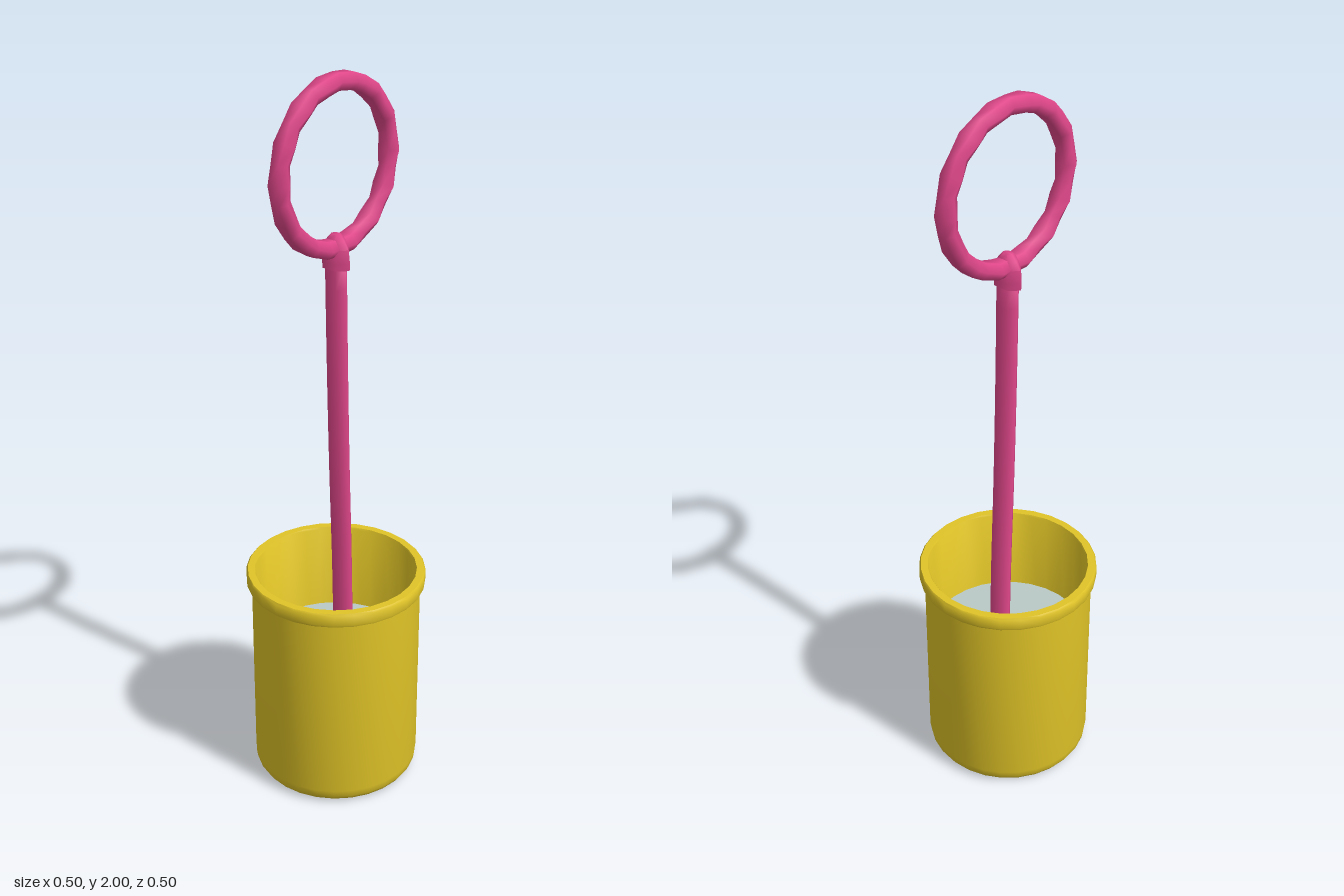
import * as THREE from 'three';
import { toCreasedNormals } from 'three/addons/utils/BufferGeometryUtils.js';

const SEGMENTS = 28;
const SIDES = 6;

// Skins a list of six-sided rings; closed joins the last ring to the first
function loft(rings, closed) {
  const positions = [], indices = [];
  rings.forEach(ring => ring.forEach(p => positions.push(...p)));
  const n = rings.length;
  for (let i = 0; i < (closed ? n : n - 1); i++) {
    for (let j = 0; j < SIDES; j++) {
      const k = (j + 1) % SIDES, next = (i + 1) % n;
      const a = i * SIDES + j, b = i * SIDES + k;
      const c = next * SIDES + k, d = next * SIDES + j;
      indices.push(a, b, c, a, c, d);
    }
  }
  if (!closed) {
    for (let j = 1; j < SIDES - 1; j++) {
      indices.push(0, j + 1, j);
      const e = (n - 1) * SIDES;
      indices.push(e, e + j, e + j + 1);
    }
  }
  const geometry = new THREE.BufferGeometry();
  geometry.setAttribute('position', new THREE.Float32BufferAttribute(positions, 3));
  geometry.setIndex(indices);
  geometry.computeVertexNormals();
  return geometry;
}

// Horizontal hexagon with its points towards front and back
function hexagon(x, y, z, halfX, halfZ) {
  return Array.from({ length: SIDES }, (_, j) => {
    const a = j / SIDES * Math.PI * 2;
    return [x + Math.sin(a) * halfX, y, z + Math.cos(a) * halfZ];
  });
}

export function createModel() {
  const model = new THREE.Group();
  const yellow = new THREE.MeshStandardMaterial({ color: 0xe0c427 });
  yellow.name = 'yellow plastic';
  const pink = new THREE.MeshStandardMaterial({ color: 0xe0478a });
  pink.name = 'pink plastic';
  const pale = new THREE.MeshStandardMaterial({ color: 0xbacac5 });
  pale.name = 'soapy liquid';

  function add(name, geometry, material, parent = model) {
    const mesh = new THREE.Mesh(geometry, material);
    mesh.name = name;
    parent.add(mesh);
    return mesh;
  }

  // Hollow cup: outer wall, rolled rim, inner wall and floor in one profile
  const profile = [
    [0, 0], [0.205, 0], [0.222, 0.008], [0.231, 0.022], [0.234, 0.042],
    [0.234, 0.597], [0.246, 0.597], [0.248, 0.603], [0.248, 0.632], [0.244, 0.637],
    [0.224, 0.637], [0.221, 0.632], [0.221, 0.03], [0, 0.03],
  ].map(([r, y]) => new THREE.Vector2(r, y));
  add('cup', toCreasedNormals(new THREE.LatheGeometry(profile, SEGMENTS), 0.85), yellow);

  // Liquid surface inside the cup
  const liquid = new THREE.CircleGeometry(0.221, SEGMENTS);
  liquid.rotateX(-Math.PI / 2);
  add('liquid', liquid, pale).position.y = 0.38;

  const wand = new THREE.Group();
  wand.name = 'wand';
  model.add(wand);

  // Gently bent stem
  const path = new THREE.CatmullRomCurve3([
    [0.05, 0.32, -0.014], [0.036, 0.63, -0.008], [0.018, 0.95, -0.003],
    [0.006, 1.25, 0], [0, 1.54, 0],
  ].map(p => new THREE.Vector3(...p)));
  const stem = path.getPoints(14).map(p => hexagon(p.x, p.y, p.z, 0.026, 0.034));
  add('stem', loft(stem, false), pink, wand);

  // Collar joining the stem to the ring
  const collar = [
    [1.512, 0.029, 0.045], [1.53, 0.029, 0.046], [1.565, 0.027, 0.042],
    [1.585, 0.023, 0.028], [1.6, 0.012, 0.014],
  ].map(([y, hx, hz]) => hexagon(0, y, 0, hx, hz));
  add('collar', toCreasedNormals(loft(collar, false), 1.25), pink, wand);

  // Ring with fourteen ridges that widen it towards front and back
  const ring = Array.from({ length: SEGMENTS }, (_, i) => {
    const t = i / SEGMENTS * Math.PI * 2;
    const halfZ = i % 2 ? 0.023 : 0.034;
    return Array.from({ length: SIDES }, (_, j) => {
      const a = j / SIDES * Math.PI * 2;
      const r = 0.207 + Math.sin(a) * 0.025;
      return [Math.cos(t) * r, 1.772 + Math.sin(t) * r, Math.cos(a) * halfZ];
    });
  });
  add('ring', loft(ring, true), pink, wand);

  return model;
}
